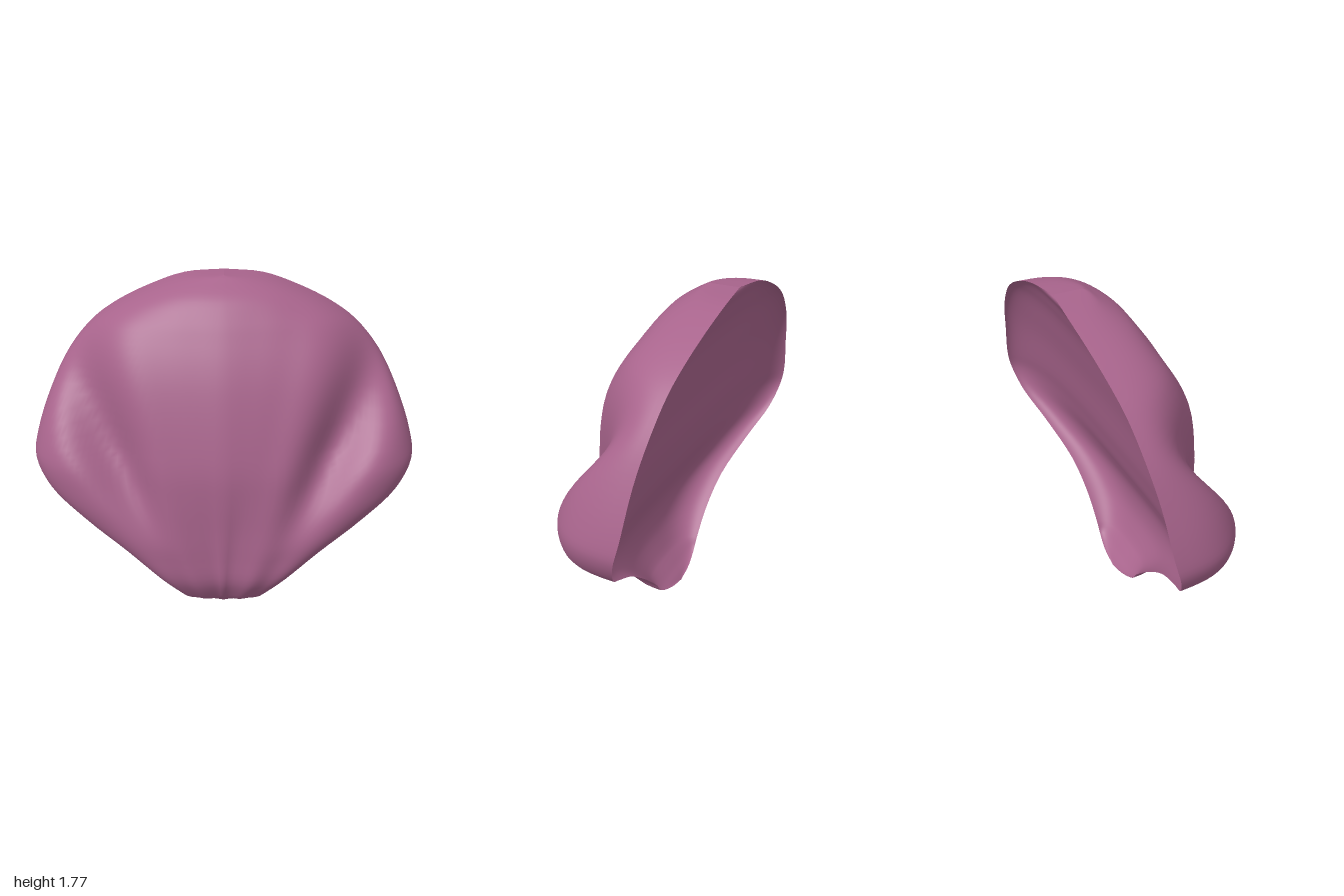
import * as THREE from 'three';

// Rows from hinge to top: half width, height, rim z, crest z, bowl depth (share of thickness)
const ROWS = [
  [0, 0, -0.02, 0.08, 0],
  [0.11, 0.025, -0.015, 0.105, 0.15],
  [0.21, 0.07, 0, 0.165, 0.3],
  [0.25, 0.13, 0, 0.255, 0.4],
  [0.38, 0.27, 0, 0.33, 0.48],
  [0.55, 0.42, -0.02, 0.335, 0.5],
  [0.78, 0.59, -0.09, 0.33, 0.43],
  [0.94, 0.73, -0.16, 0.325, 0.38],
  [1, 0.86, -0.2, 0.315, 0.35],
  [0.985, 0.97, -0.225, 0.295, 0.33],
  [0.9, 1.2, -0.25, 0.235, 0.3],
  [0.81, 1.37, -0.275, 0.175, 0.27],
  [0.68, 1.52, -0.295, 0.1, 0.24],
  [0.55, 1.61, -0.31, 0.045, 0.2],
  [0.38, 1.69, -0.322, -0.02, 0.15],
  [0.2, 1.75, -0.328, -0.12, 0.07],
  [0, 1.77, -0.31, -0.16, 0],
];
const rimCurve = new THREE.CatmullRomCurve3(ROWS.map(([w, y, b]) => new THREE.Vector3(w, y, b)));
const crestCurve = new THREE.CatmullRomCurve3(ROWS.map(([, y, , f, k]) => new THREE.Vector3(k, y, f)));

// Grooves fanning out from the hinge: x at the base, slope, depth low down, depth high up
const GROOVES = [
  [0, 0.1, 0.02, 0.008],
  [0.03, 0.2, 0.015, 0.02],
  [0.08, 0.5, 0.02, 0.19],
];

function grooveDepth(x, y) {
  const rise = THREE.MathUtils.smoothstep(y, 0.45, 1.05);
  let depth = 0;
  for (const [x0, slope, low, high] of GROOVES) {
    const width = 0.03 + (0.03 + 0.2 * slope) * y;
    const offset = (Math.abs(x) - x0 - slope * y) / width;
    depth += THREE.MathUtils.lerp(low, high, rise) * Math.exp(-offset * offset);
  }
  return depth * Math.min(1, y / 0.15);
}

// Bends a plane into one skin of the shell; the inner skin is mirrored so it faces back
function skin(name, inner, material) {
  const geo = new THREE.PlaneGeometry(2, 2, 72, (ROWS.length - 1) * 4);
  const pos = geo.attributes.position;
  for (let i = 0; i < pos.count; i++) {
    const t = THREE.MathUtils.clamp((pos.getY(i) + 1) / 2, 0, 1);
    const rim = rimCurve.getPoint(t), crest = crestCurve.getPoint(t);
    const u = Math.sin(pos.getX(i) * Math.PI / 2) * (inner ? -1 : 1);
    const a = Math.min(1, Math.abs(u));
    const x = u * Math.max(0, rim.x), y = rim.y;
    let z;
    if (inner) {
      z = rim.z + (crest.z - rim.z) * crest.x * Math.sqrt(1 - a ** 3.5);
    } else {
      const p = THREE.MathUtils.lerp(4.5, 3, THREE.MathUtils.smoothstep(y, 0.3, 0.8));
      z = rim.z + (crest.z - rim.z - grooveDepth(x, y)) * Math.cbrt(1 - a ** p);
    }
    pos.setXYZ(i, x, y, z);
  }
  geo.computeVertexNormals();
  const mesh = new THREE.Mesh(geo, material);
  mesh.name = name;
  return mesh;
}

export function createModel() {
  const group = new THREE.Group();
  group.name = 'scallopShell';
  const material = new THREE.MeshStandardMaterial({ color: 0xa8648c, side: THREE.DoubleSide });
  group.add(skin('ribbedOuterShell', false, material));
  group.add(skin('smoothInnerBowl', true, material));
  return group;
}
